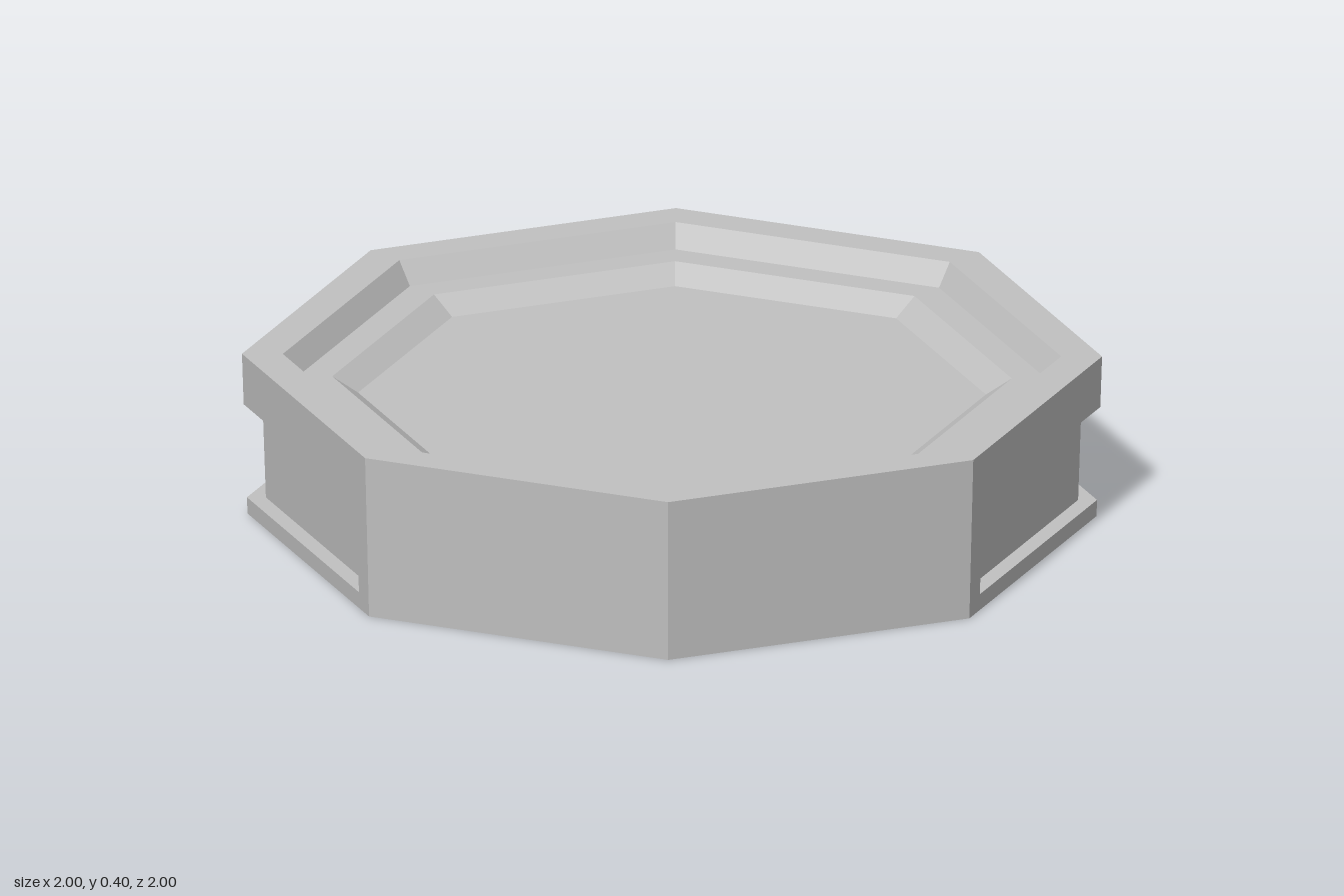
import * as THREE from 'three';

const HEIGHT = 0.395;
const SLOT_LOW = 0.04, SLOT_HIGH = 0.27; // side slot heights
const SLOT_END = 0.92, SLOT_INNER_END = 0.94; // share of each wall the slot takes
const SLOT_DEPTH = 0.044;

const outerRadius = (y) => 0.987 + 0.013 * y / HEIGHT;

// Octagonal ring surfaces with flat faces; corners lie on the x and z axes
function octagon(name, profile, material) {
  const points = profile.map(([r, y]) => new THREE.Vector2(r, y));
  const geometry = new THREE.LatheGeometry(points, 8).toNonIndexed();
  geometry.computeVertexNormals();
  const mesh = new THREE.Mesh(geometry, material);
  mesh.name = name;
  return mesh;
}

// Mesh from four-cornered faces, mirrored into all four quarters
function mirroredFaces(name, quads, material) {
  const positions = [];
  for (const sx of [1, -1]) {
    for (const sz of [1, -1]) {
      for (const [a, b, c, d] of quads) {
        const corners = sx * sz > 0 ? [a, b, c, a, c, d] : [a, c, b, a, d, c];
        for (const p of corners) positions.push(p.x * sx, p.y, p.z * sz);
      }
    }
  }
  const geometry = new THREE.BufferGeometry();
  geometry.setAttribute('position', new THREE.Float32BufferAttribute(positions, 3));
  geometry.computeVertexNormals();
  const mesh = new THREE.Mesh(geometry, material);
  mesh.name = name;
  return mesh;
}

// Point on a wall: t runs from the side corner (0) to the diagonal corner (1),
// then on to the front corner (2)
function wallPoint(t, y, inset = 0) {
  const s = Math.SQRT1_2;
  const r = outerRadius(y) - inset;
  const x = t <= 1 ? 1 + (s - 1) * t : s * (2 - t);
  const z = t <= 1 ? s * t : s + (1 - s) * (t - 1);
  return new THREE.Vector3(x * r, y, z * r);
}

// Outward-facing wall panel
function panel(t0, t1, y0, y1, inset = 0) {
  return [
    wallPoint(t0, y0, inset), wallPoint(t0, y1, inset),
    wallPoint(t1, y1, inset), wallPoint(t1, y0, inset),
  ];
}

export function createModel() {
  const model = new THREE.Group();
  model.name = 'octagonalTray';
  const grey = new THREE.MeshStandardMaterial({ color: 0xc0c0c0 });
  grey.name = 'light grey';

  // Raised rim, inner step, bevel and dished floor
  model.add(octagon('trayTop', [
    [1, HEIGHT], [0.905, HEIGHT], [0.87, 0.34], [0.79, 0.34], [0.73, 0.30], [0, 0.30],
  ], grey));

  // Underside with a bevelled hollow
  model.add(octagon('trayBase', [
    [0, 0.05], [0.84, 0.05], [0.91, 0], [outerRadius(0), 0],
  ], grey));

  // Plain front and back walls, and the frames around the side slots
  model.add(mirroredFaces('outerWalls', [
    panel(1, 2, 0, HEIGHT),
    panel(0, 1, 0, SLOT_LOW),
    panel(0, 1, SLOT_HIGH, HEIGHT),
    panel(SLOT_END, 1, SLOT_LOW, SLOT_HIGH),
  ], grey));

  // Recessed slots that wrap around the left and right corners
  const outer = (t, y) => wallPoint(t, y);
  const inner = (t, y) => wallPoint(t, y, SLOT_DEPTH);
  const lo = SLOT_LOW, hi = SLOT_HIGH, e = SLOT_END, f = SLOT_INNER_END;
  model.add(mirroredFaces('sideSlots', [
    panel(0, f, lo, hi, SLOT_DEPTH),
    [outer(0, lo), inner(0, lo), inner(f, lo), outer(e, lo)],
    [outer(0, hi), outer(e, hi), inner(f, hi), inner(0, hi)],
    [outer(e, lo), inner(f, lo), inner(f, hi), outer(e, hi)],
  ], grey));

  return model;
}
